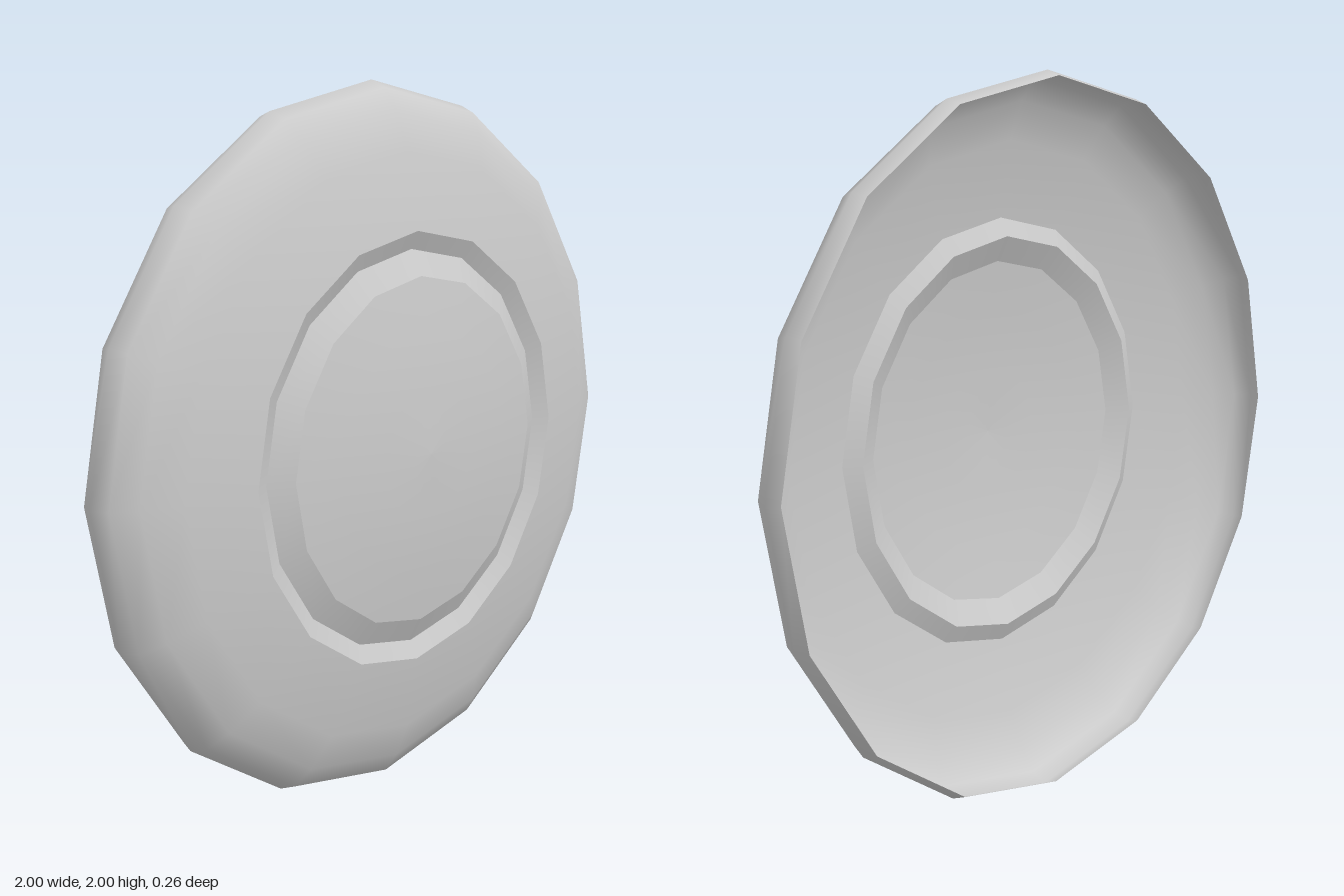
import * as THREE from 'three';

const SIDES = 16;

export function createModel() {
  const group = new THREE.Group();
  group.name = 'disc';
  const material = new THREE.MeshStandardMaterial({ color: 0xcccccc, side: THREE.DoubleSide });

  // Each band turns a [radius, depth] profile about the z axis; bands meet in sharp creases.
  const addBand = (name, profile) => {
    const points = profile.map(([r, z]) => new THREE.Vector2(r, z));
    const geometry = new THREE.LatheGeometry(points, SIDES);
    geometry.rotateX(Math.PI / 2);
    geometry.translate(0, 1, 0);
    const mesh = new THREE.Mesh(geometry, material);
    mesh.name = name;
    group.add(mesh);
  };

  // Curved outer shell, open at the back
  addBand('outerShell', [
    [0.985, -0.13], [1, -0.09], [0.98, -0.042], [0.92, 0], [0.815, 0.042], [0.605, 0.078],
  ]);
  // V-shaped groove around the centre
  addBand('grooveOuterWall', [[0.605, 0.078], [0.555, 0.054]]);
  addBand('grooveInnerWall', [[0.555, 0.054], [0.485, 0.09]]);
  // Shallow central dome
  addBand('centreDome', [[0.485, 0.09], [0.34, 0.11], [0.18, 0.124], [0, 0.13]]);

  return group;
}
